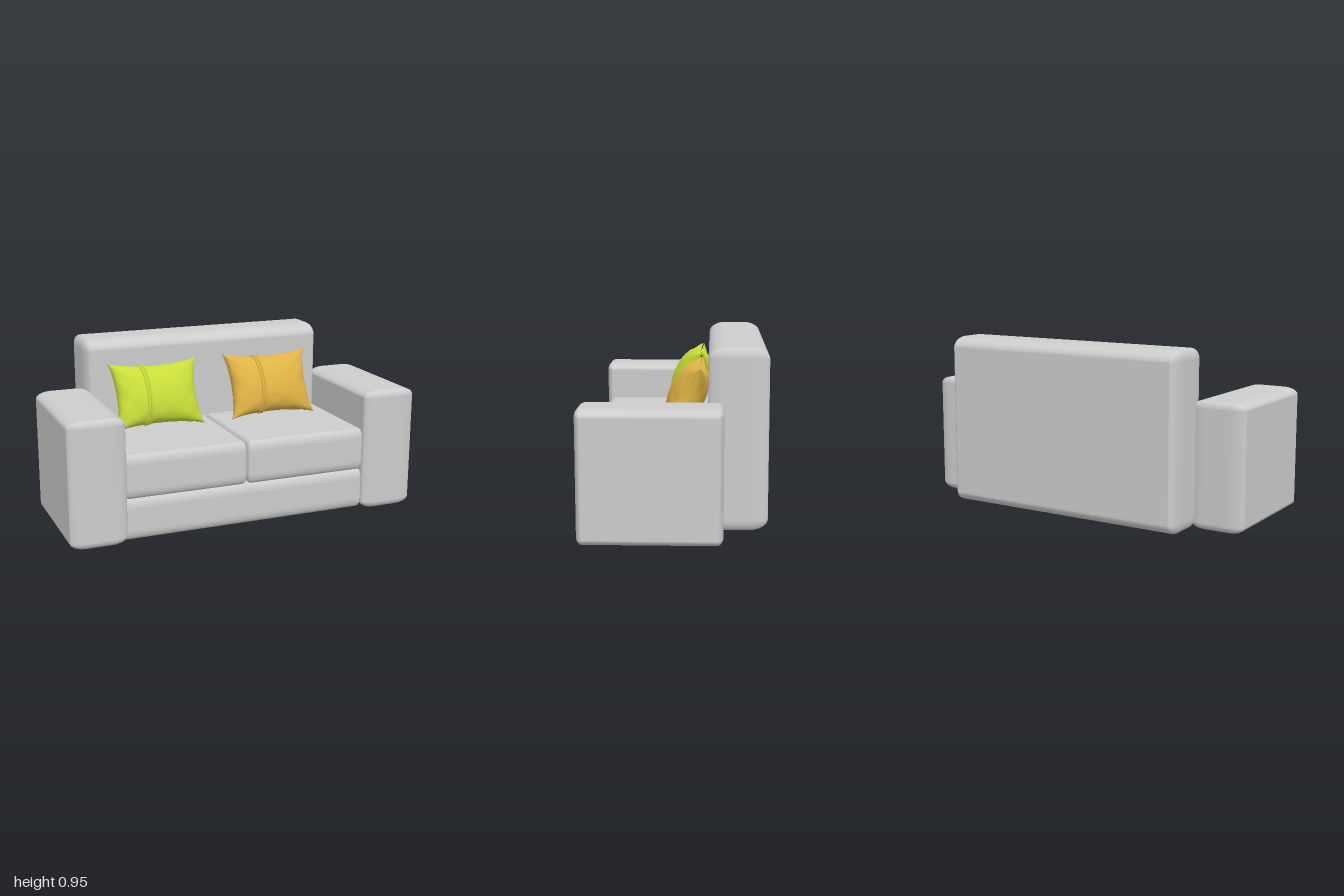
import * as THREE from 'three';
import { RoundedBoxGeometry } from 'three/addons/geometries/RoundedBoxGeometry.js';
import { mergeGeometries, mergeVertices } from 'three/addons/utils/BufferGeometryUtils.js';

const material = (name, color) => Object.assign(new THREE.MeshStandardMaterial({ color }), { name });

// Upholstered block between two corners, with a different edge rounding along each axis
function softBlock(name, min, max, radii, mat) {
  const size = max.map((m, i) => m - min[i]);
  const geo = new RoundedBoxGeometry(...size.map((s, i) => s / radii[i]), 6, 1);
  geo.scale(...radii);
  geo.translate(...min.map((m, i) => (m + max[i]) / 2));
  const mesh = new THREE.Mesh(geo, mat);
  mesh.name = name;
  return mesh;
}

// Point on the pillow surface: u, v in -1..1, side is +1 (front) or -1 (back)
function pillowPoint(u, v, side) {
  const eu = Math.max(0, 1 - u * u), ev = Math.max(0, 1 - v * v);
  const x = 0.263 * u * (1 - 0.14 * Math.pow(ev, 0.7));
  const y = 0.195 * v * (1 - 0.17 * Math.pow(eu, 0.7));
  // soft puckers that fade out towards the middle
  const rim = Math.max(Math.abs(u), Math.abs(v)) ** 4;
  const pucker = 1 + 0.1 * rim * Math.sin(11 * u + 2 * side) * Math.cos(9 * v + side);
  const z = side * (0.097 * Math.pow(eu * ev, 0.42) * pucker + 0.008 * rim * (u * v) ** 2 * Math.sqrt(eu + ev));
  return new THREE.Vector3(x, y, z);
}

function pillowGeometry() {
  const faces = [1, -1].map((side) => {
    const geo = new THREE.PlaneGeometry(2, 2, 44, 36);
    const pos = geo.attributes.position;
    for (let i = 0; i < pos.count; i++) {
      // ease the grid so rows gather at the seam
      const u = Math.sin(pos.getX(i) * Math.PI / 2) * side;
      const v = Math.sin(pos.getY(i) * Math.PI / 2);
      const p = pillowPoint(u, v, side);
      pos.setXYZ(i, p.x, p.y, p.z);
    }
    geo.deleteAttribute('uv');
    geo.deleteAttribute('normal');
    return geo;
  });
  const geo = mergeVertices(mergeGeometries(faces), 1e-5);
  geo.computeVertexNormals();
  return geo;
}

// Folded hem running round the pillow at a given u
function hemGeometry(u, radius) {
  const points = [];
  for (let i = 0; i < 40; i++) {
    const a = (i / 40) * Math.PI * 2;
    points.push(pillowPoint(u, Math.sin(a), Math.cos(a) >= 0 ? 1 : -1));
  }
  return new THREE.TubeGeometry(new THREE.CatmullRomCurve3(points, true), 80, radius, 8, true);
}

function pillow(name, x, mat) {
  const group = new THREE.Group();
  group.name = name;
  const body = new THREE.Mesh(pillowGeometry(), mat);
  body.name = name + 'Body';
  group.add(body);
  [[-0.325, 0.008], [-0.255, 0.006]].forEach(([u, r], i) => {
    const hem = new THREE.Mesh(hemGeometry(u, r), mat);
    hem.name = name + (i ? 'InnerHem' : 'OuterHem');
    group.add(hem);
  });
  group.position.set(x, 0.657, -0.055);
  group.rotation.x = -0.42;
  return group;
}

export function createModel() {
  const fabric = material('greyFabric', 0xcccccc);
  const lime = material('limeFabric', 0xc9dc3a);
  const mustard = material('mustardFabric', 0xdfb345);

  const sofa = new THREE.Group();
  sofa.name = 'sofa';

  // Backrest and base
  sofa.add(softBlock('backrest', [-0.725, 0.01, -0.48], [0.71, 0.96, -0.17], [0.035, 0.06, 0.1], fabric));
  sofa.add(softBlock('base', [-0.71, 0.012, -0.25], [0.7, 0.238, 0.45], [0.025, 0.055, 0.03], fabric));

  // Armrests
  sofa.add(softBlock('leftArm', [0.69, 0.005, -0.25], [1, 0.69, 0.48], [0.085, 0.04, 0.035], fabric));
  sofa.add(softBlock('rightArm', [-1, 0.005, -0.25], [-0.69, 0.69, 0.48], [0.085, 0.04, 0.035], fabric));

  // Seat cushions
  sofa.add(softBlock('leftSeatCushion', [-0.01, 0.238, -0.2], [0.695, 0.477, 0.457], [0.025, 0.055, 0.03], fabric));
  sofa.add(softBlock('rightSeatCushion', [-0.7, 0.238, -0.2], [-0.01, 0.477, 0.457], [0.025, 0.055, 0.03], fabric));

  // Throw pillows leaning on the backrest
  sofa.add(pillow('limePillow', -0.352, lime));
  sofa.add(pillow('mustardPillow', 0.337, mustard));
  return sofa;
}
